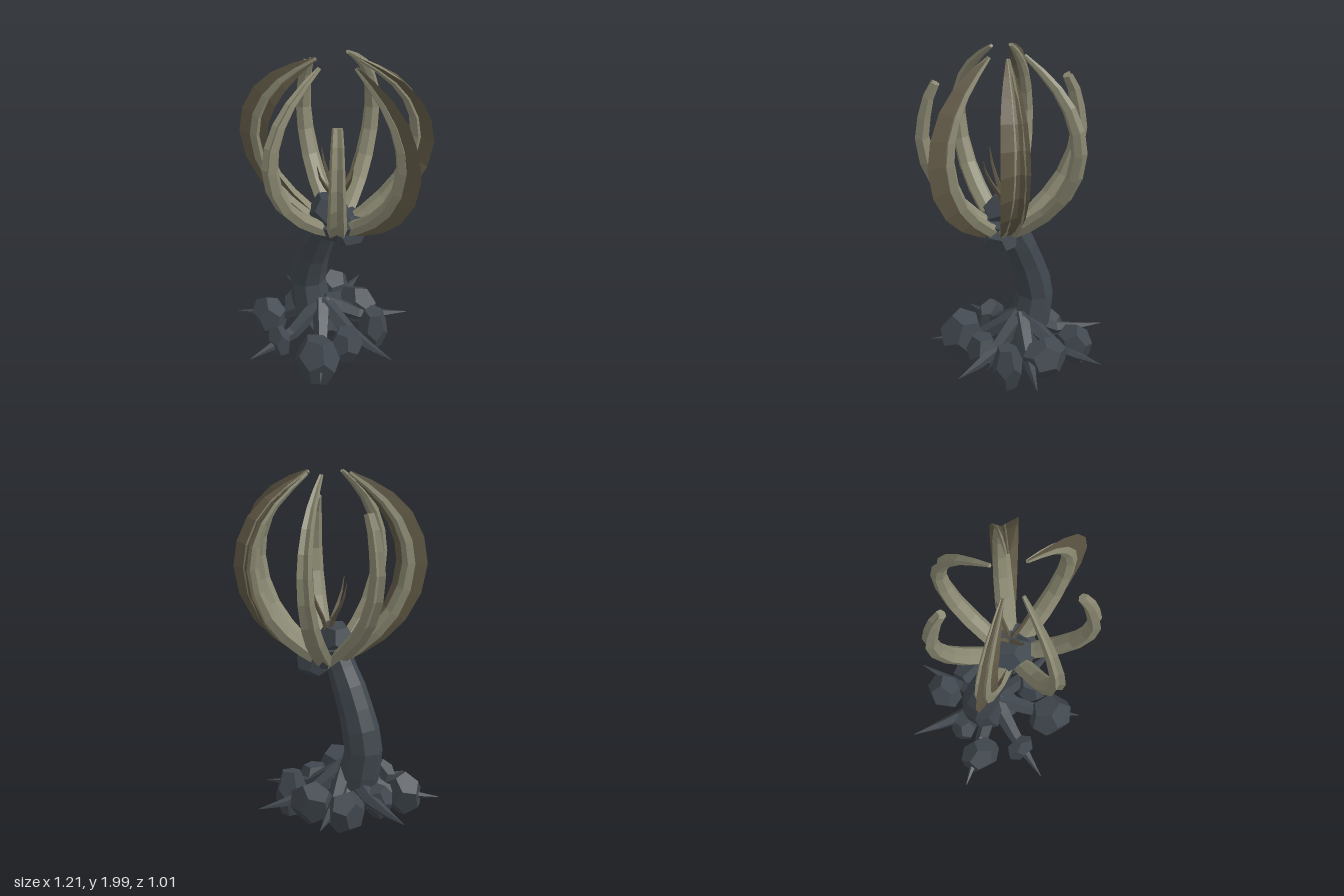
import * as THREE from 'three';

const mat = (name, color) => {
  const m = new THREE.MeshStandardMaterial({ color });
  m.name = name;
  return m;
};

// Flat-shaded loft along a path in the local xy plane.
// path: [x, y]; sectionAt(i): counter-clockwise [side, outward] offsets.
function loft(path, sectionAt) {
  const rings = path.map((p, i) => {
    const a = path[Math.max(i - 1, 0)], b = path[Math.min(i + 1, path.length - 1)];
    const t = new THREE.Vector2(b[0] - a[0], b[1] - a[1]).normalize();
    return sectionAt(i).map(([u, v]) => [p[0] + t.y * v, p[1] - t.x * v, u]);
  });
  const pos = [];
  const tri = (...pts) => pts.forEach((p) => pos.push(...p));
  const n = rings[0].length;
  for (let i = 0; i < rings.length - 1; i++) {
    for (let j = 0; j < n; j++) {
      const k = (j + 1) % n;
      tri(rings[i][j], rings[i][k], rings[i + 1][k]);
      tri(rings[i][j], rings[i + 1][k], rings[i + 1][j]);
    }
  }
  // End caps
  const mid = (r) => [0, 1, 2].map((c) => r.reduce((s, p) => s + p[c], 0) / n);
  const first = rings[0], last = rings[rings.length - 1];
  for (let j = 0; j < n; j++) {
    const k = (j + 1) % n;
    tri(mid(first), first[k], first[j]);
    tri(mid(last), last[j], last[k]);
  }
  const g = new THREE.BufferGeometry();
  g.setAttribute('position', new THREE.Float32BufferAttribute(pos, 3));
  g.computeVertexNormals();
  return g;
}

const polygon = (sides, r) => Array.from({ length: sides }, (_, k) => {
  const a = (k / sides) * Math.PI * 2;
  return [r * Math.cos(a), r * Math.sin(a)];
});

export function createModel() {
  const model = new THREE.Group();
  const slate = mat('slate', 0x40474e);
  const bone = mat('bone', 0x8b8972);
  const umber = mat('umber', 0x615946);

  const add = (name, geometry, material, parent = model) => {
    const mesh = new THREE.Mesh(geometry, material);
    mesh.name = name;
    parent.add(mesh);
    return mesh;
  };
  const spoke = (name, x, z, angle) => {
    const g = new THREE.Group();
    g.name = name;
    g.position.set(x, 0, z);
    g.rotation.y = -angle;
    model.add(g);
    return g;
  };
  const step = (k) => Math.PI / 2 + (k * Math.PI * 2) / 7;

  // Rocks: dodecahedra, each turned and stretched
  const rock = (name, [x, y, z], [rx, ry, rz], turn) => {
    const g = new THREE.DodecahedronGeometry(1.06, 0);
    g.rotateX(turn * 0.7);
    g.rotateY(turn * 1.3);
    g.scale(rx, ry, rz);
    g.computeVertexNormals();
    add(name, g, slate).position.set(x, y, z);
  };
  [
    [[0.18, 0.17, 0.22], [0.135, 0.16, 0.12]],
    [[-0.32, 0.165, 0.2], [0.12, 0.125, 0.095]],
    [[-0.09, 0.17, 0.3], [0.09, 0.11, 0.06]],
    [[0.18, 0.17, 0.0], [0.09, 0.12, 0.1]],
    [[-0.31, 0.17, 0.0], [0.075, 0.1, 0.08]],
    [[-0.29, 0.18, -0.26], [0.1, 0.12, 0.11]],
    [[-0.06, 0.18, -0.28], [0.14, 0.12, 0.1]],
    [[0.16, 0.17, -0.22], [0.085, 0.155, 0.085]],
    [[-0.09, 0.2, -0.02], [0.15, 0.13, 0.14]],
  ].forEach(([p, r], i) => rock('baseRock', p, r, i * 1.1 + 0.4));

  // Seven roots that end in spikes
  const rootPath = [[0, 0.33], [0.1, 0.27], [0.22, 0.195], [0.37, 0.165], [0.53, 0.15]];
  const rootRadius = [0.055, 0.05, 0.042, 0.026, 0.002];
  for (let k = 0; k < 7; k++) {
    const g = spoke('root', -0.08, -0.015, step(k));
    add('rootSpike', loft(rootPath, (i) => polygon(5, rootRadius[i])), slate, g);
  }

  // Leaning stem
  const stemPath = [[-0.14, 0.22], [-0.17, 0.32], [-0.195, 0.45], [-0.175, 0.56],
    [-0.14, 0.67], [-0.09, 0.79], [-0.04, 0.89], [0.02, 1.0]];
  const stemRadius = [0.12, 0.115, 0.108, 0.106, 0.098, 0.094, 0.084, 0.085];
  add('stem', loft(stemPath, (i) => polygon(8, stemRadius[i])), slate);

  // Core where the ribs meet: two rocks in a shallow bowl
  rock('upperCore', [0.025, 1.05, 0.01], [0.12, 0.11, 0.1], 0.5);
  rock('lowerCore', [0.11, 0.93, -0.07], [0.095, 0.09, 0.11], 1.7);
  const bowl = new THREE.CylinderGeometry(0.15, 0.09, 0.11, 7).toNonIndexed();
  bowl.computeVertexNormals();
  add('bowlCore', bowl, slate).position.set(0.06, 0.96, -0.02);

  // Cage of seven grooved ribs, two of them broken short
  const ribPath = [[0.03, 0.925], [0.16, 1.015], [0.27, 1.11], [0.36, 1.22], [0.425, 1.36],
    [0.45, 1.5], [0.435, 1.62], [0.385, 1.74], [0.31, 1.84], [0.215, 1.925], [0.12, 1.995]];
  const brokenPath = [...ribPath.slice(0, 7), [0.41, 1.73], [0.37, 1.815]];
  const ribWide = [0.05, 0.055, 0.056, 0.053, 0.048, 0.044, 0.04, 0.035, 0.028, 0.02, 0.011];
  const ribDeep = [0.035, 0.038, 0.04, 0.04, 0.04, 0.038, 0.036, 0.031, 0.025, 0.018, 0.01];
  const grooved = [[1, -0.2], [0.7, 0.9], [0, 0.45], [-0.7, 0.9], [-1, -0.2], [-0.45, -1], [0.45, -1]];
  for (let k = 0; k < 7; k++) {
    const g = spoke('ribGroup', 0.045, -0.03, step(k));
    const path = k === 2 || k === 6 ? brokenPath : ribPath;
    add('rib', loft(path, (i) => grooved.map(([u, v]) => [u * ribWide[i], v * ribDeep[i]])), bone, g);
  }

  // Dark wedge-shaped blades: [rib, angle from straight outward, reach]
  const bladeReach = [0.03, 0.06, 0.085, 0.105, 0.12, 0.125, 0.12, 0.11, 0.085, 0.05, 0.014];
  for (const [k, turn, reach] of [[1, 0, 0.82], [1, -2.46, 0.75], [4, 1.05, 1], [4, -0.9, 0.55], [5, 0.15, 1]]) {
    const s = Math.sin(turn), c = Math.cos(turn);
    const wedge = (i) => {
      const w = ribWide[i] * 0.45, r = bladeReach[i] * reach;
      return [[w * c, -w * s], [r * s, r * c], [-w * c, w * s]];
    };
    add('ribBlade', loft(ribPath, wedge), umber, spoke('bladeGroup', 0.045, -0.03, step(k)));
  }

  // Four thin thorns rising inside the cage
  const thornPath = [[0, 1.08], [0.04, 1.18], [0.09, 1.26], [0.12, 1.32], [0.14, 1.4]];
  const thornRadius = [0.018, 0.015, 0.011, 0.008, 0.002];
  for (let k = 0; k < 4; k++) {
    const g = spoke('thornGroup', 0.045, -0.03, (k * Math.PI) / 2);
    add('thorn', loft(thornPath, (i) => polygon(4, thornRadius[i])), umber, g);
  }

  return model;
}
